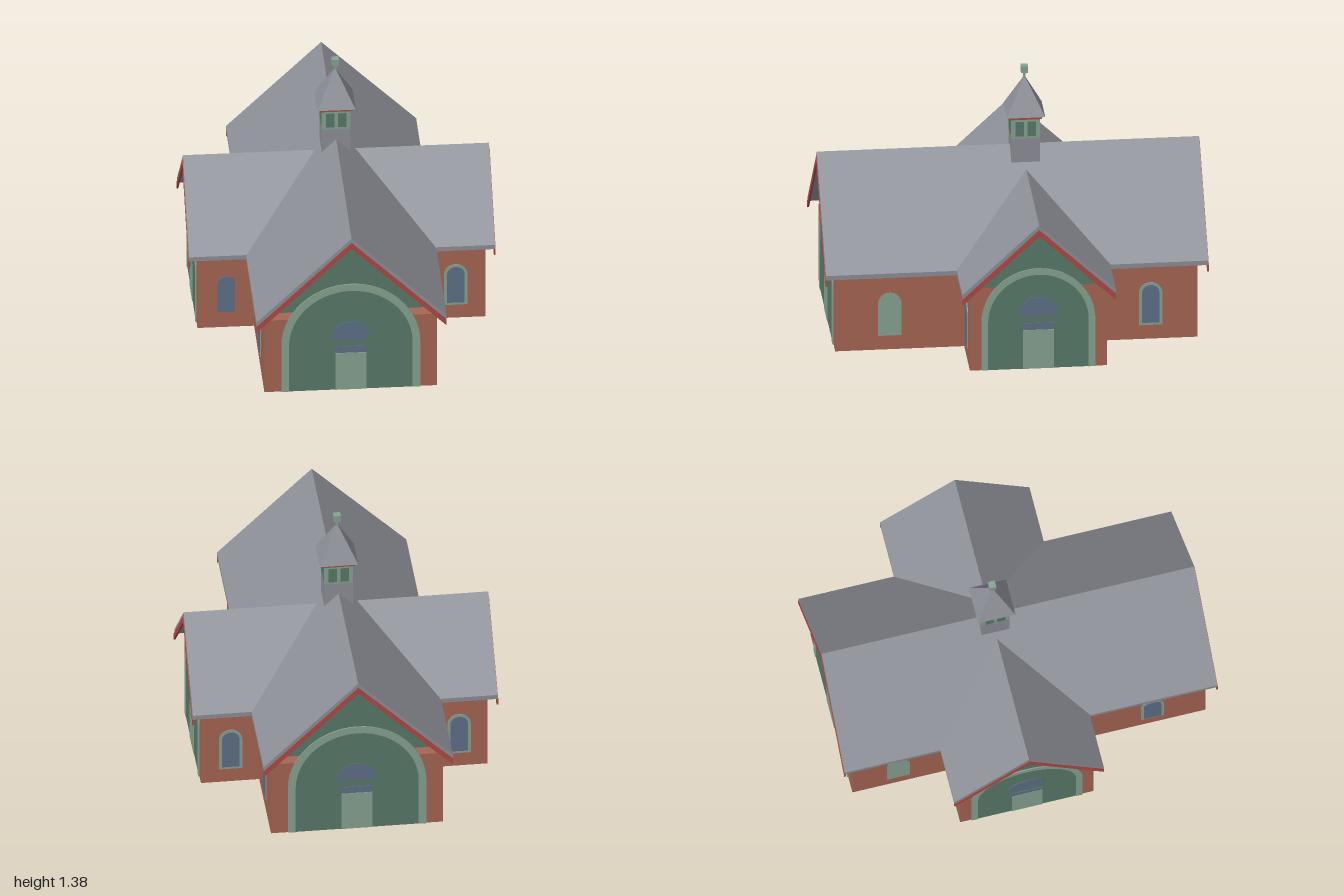
import * as THREE from 'three';

const mat = (name, color) => new THREE.MeshStandardMaterial({ name, color });
const M = {
  brick: mat('brick', 0xa56553),
  roof: mat('slate roof', 0x8d8f97),
  green: mat('dark green', 0x587a69),
  pale: mat('pale green', 0x87a391),
  glass: mat('blue glass', 0x5f7089),
  red: mat('red trim', 0xae4a45),
};

const CZ = -0.085; // centre line of the cross wing and turret
const CX = -0.005; // centre line of the nave

function mesh(name, geometry, material, x = 0, y = 0, z = 0) {
  const m = new THREE.Mesh(geometry, material);
  m.name = name;
  m.position.set(x, y, z);
  return m;
}

const box = (name, w, h, d, material, x, y0, z) =>
  mesh(name, new THREE.BoxGeometry(w, h, d), material, x, y0 + h / 2, z);

const extrude = (shape, depth) =>
  new THREE.ExtrudeGeometry(shape, { depth, bevelEnabled: false, curveSegments: 14 });

const polygon = (pts) => new THREE.Shape(pts.map(([x, y]) => new THREE.Vector2(x, y)));

// Round-headed opening: half width r, from y0 up to the springing line
function archShape(r, y0, spring) {
  const s = new THREE.Shape();
  s.moveTo(-r, y0);
  s.lineTo(r, y0);
  s.lineTo(r, spring);
  s.absarc(0, spring, r, 0, Math.PI, false);
  s.lineTo(-r, y0);
  return s;
}

// Inverted V with constant vertical thickness t
const chevron = (half, peak, eave, t) => polygon([
  [-half, eave - t], [0, peak - t], [half, eave - t], [half, eave], [0, peak], [-half, eave],
]);

// Arched entrance front, lying in the xy plane and facing +z
function entrance(radius, band, spring) {
  const g = new THREE.Group();
  g.name = 'entrance';
  g.add(mesh('archPanel', extrude(archShape(radius - 0.01, 0, spring), 0.003), M.green));

  const ring = new THREE.Shape();
  const inner = radius - band;
  ring.moveTo(radius, 0);
  ring.lineTo(radius, spring);
  ring.absarc(0, spring, radius, 0, Math.PI, false);
  ring.lineTo(-radius, 0);
  ring.lineTo(-inner, 0);
  ring.lineTo(-inner, spring);
  ring.absarc(0, spring, inner, Math.PI, 0, true);
  ring.lineTo(inner, 0);
  g.add(mesh('archBand', extrude(ring, 0.006), M.pale));

  g.add(box('door', 0.162, 0.22, 0.006, M.pale, 0, 0, 0.003));
  g.add(box('transomWindow', 0.164, 0.037, 0.006, M.glass, 0, 0.223, 0.003));
  const fan = new THREE.Shape();
  fan.absarc(0, 0.305, 0.102, 0, Math.PI, false);
  g.add(mesh('fanWindow', extrude(fan, 0.006), M.glass));
  return g;
}

// Arched side window, with optional frame and pane
function sideWindow(frame, pane) {
  const g = new THREE.Group();
  g.name = 'sideWindow';
  if (frame) g.add(mesh('windowFrame', extrude(archShape(0.061, 0.08, 0.262), 0.004), M.pale));
  if (pane) g.add(mesh('windowPane', extrude(archShape(0.046, 0.094, 0.262), 0.007), M.glass));
  return g;
}

// Gabled arm running along z through the crossing
function hall(name, o) {
  const g = new THREE.Group();
  g.name = name;
  g.add(box('walls', o.wall * 2, o.wallTop, o.length * 2, M.brick, 0, 0, 0));
  const tri = polygon([[-o.gable, o.gableBase], [o.gable, o.gableBase], [0, o.gablePeak]]);
  g.add(mesh('gable', extrude(tri, o.length * 2), M.green, 0, 0, -o.length));
  const r = o.roofLength - 0.003;
  g.add(mesh('roof', extrude(chevron(o.eave, o.peak, o.eaveY, 0.025), r * 2), M.roof, 0, 0, -r));
  for (const turn of [0, Math.PI]) {
    const end = new THREE.Group();
    end.name = 'gableEnd';
    end.rotation.y = turn;
    const door = entrance(o.arch, o.band, 0.273);
    door.position.z = o.length;
    end.add(door);
    const trim = chevron(o.eave, o.peak - 0.025, o.eaveY - 0.025, 0.036);
    end.add(mesh('bargeboard', extrude(trim, 0.01), M.red, 0, 0, o.roofLength - 0.01));
    g.add(end);
  }
  return g;
}

// Square turret with louvred belfry, pyramid cap and finial
function turret() {
  const g = new THREE.Group();
  g.name = 'turret';
  g.add(box('turretBase', 0.15, 0.2, 0.15, M.roof, 0, 0.8, 0));
  g.add(box('belfry', 0.15, 0.11, 0.15, M.pale, 0, 1.0, 0));
  for (let i = 0; i < 4; i++) {
    const side = new THREE.Group();
    side.name = 'belfrySide';
    side.rotation.y = i * Math.PI / 2;
    for (const s of [-1, 1]) {
      side.add(box('louvre', 0.045, 0.083, 0.004, M.green, s * 0.031, 1.012, 0.075));
    }
    g.add(side);
  }
  g.add(box('cornice', 0.168, 0.018, 0.168, M.red, 0, 1.11, 0));
  const cap = new THREE.ConeGeometry(0.1 * Math.SQRT2, 0.2, 4).toNonIndexed();
  cap.computeVertexNormals();
  cap.rotateY(Math.PI / 4);
  g.add(mesh('turretCap', cap, M.roof, 0, 1.228, 0));
  g.add(box('finialPost', 0.012, 0.05, 0.012, M.pale, 0, 1.305, 0));
  g.add(box('finialBlock', 0.037, 0.037, 0.037, M.pale, 0, 1.348, 0));
  g.position.set(CX, 0, CZ);
  return g;
}

export function createModel() {
  const model = new THREE.Group();
  model.name = 'crossPlanBuilding';

  const nave = hall('nave', {
    wall: 0.45, wallTop: 0.432, length: 0.945, gable: 0.436, gableBase: 0.475, gablePeak: 0.907,
    roofLength: 1, eave: 0.495, peak: 0.938, eaveY: 0.453, arch: 0.362, band: 0.04,
  });
  nave.position.x = CX;

  const wing = hall('crossWing', {
    wall: 0.357, wallTop: 0.47, length: 0.75, gable: 0.357, gableBase: 0.47, gablePeak: 0.804,
    roofLength: 0.8, eave: 0.4, peak: 0.835, eaveY: 0.455, arch: 0.297, band: 0.035,
  });
  wing.rotation.y = Math.PI / 2;
  wing.position.z = CZ;
  model.add(nave, wing, turret());

  // Windows: x, z, turn about y, frame, pane
  const q = Math.PI / 2;
  const windows = [
    [0.595, CZ + 0.357, 0, true, true],
    [-0.6, CZ + 0.357, 0, false, true],
    [0.595, CZ - 0.357, 2 * q, true, true],
    [-0.6, CZ - 0.357, 2 * q, true, true],
    [CX + 0.45, 0.66, q, true, false],
    [CX + 0.45, -0.7, q, true, true],
    [CX - 0.45, 0.66, -q, true, true],
    [CX - 0.45, -0.7, -q, true, false],
  ];
  for (const [x, z, turn, frame, pane] of windows) {
    const w = sideWindow(frame, pane);
    w.position.set(x, 0, z);
    w.rotation.y = turn;
    model.add(w);
  }
  return model;
}
